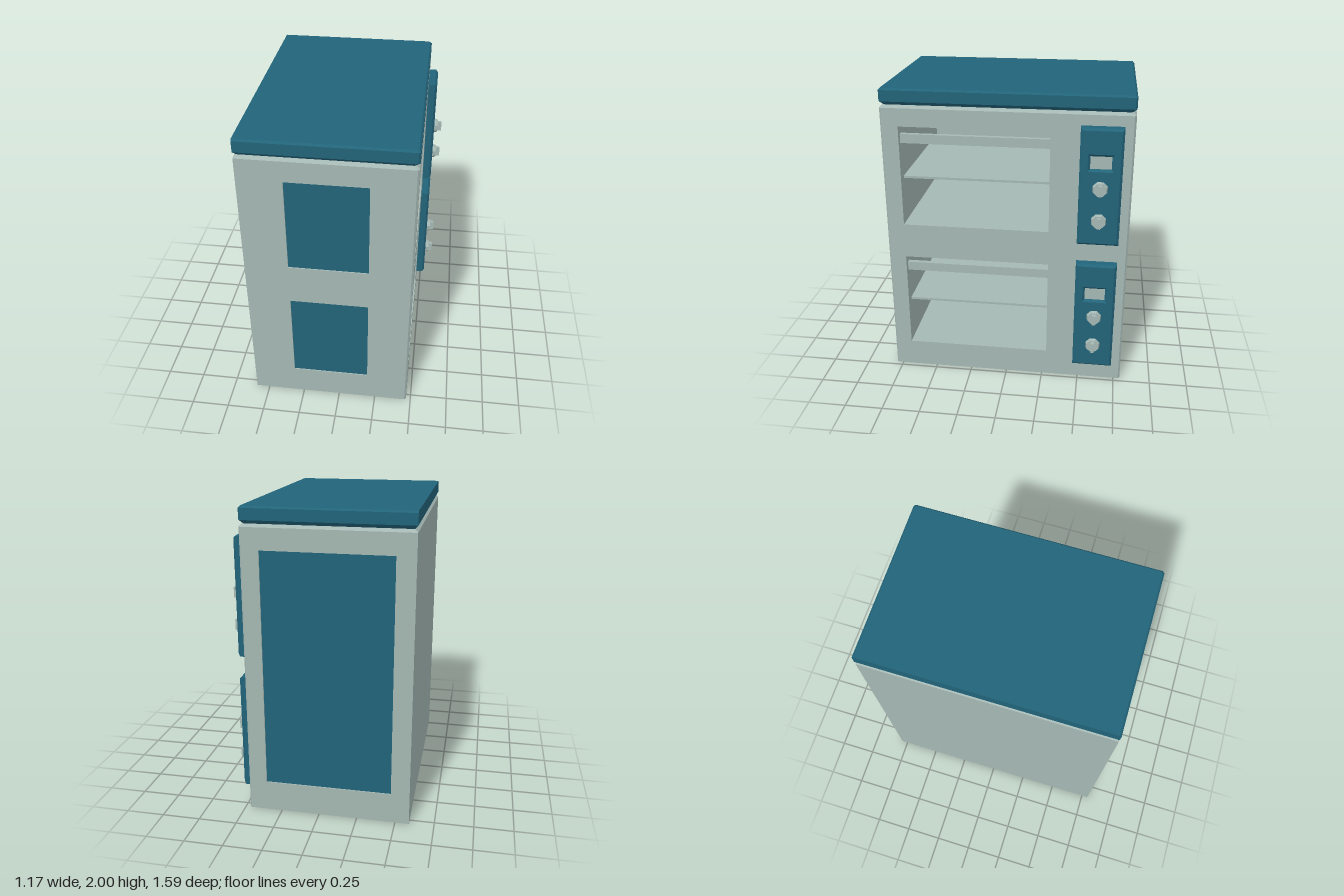
import * as THREE from 'three';

const grey = new THREE.MeshStandardMaterial({ color: 0xa5b8b3, flatShading: true });
grey.name = 'pale grey green enamel';
const blue = new THREE.MeshStandardMaterial({ color: 0x22647a, flatShading: true });
blue.name = 'deep teal enamel';

function add(parent, name, geometry, material) {
  const mesh = new THREE.Mesh(geometry, material);
  mesh.name = name;
  parent.add(mesh);
  return mesh;
}

// Box given by its extents on each axis
function span(x0, x1, y0, y1, z0, z1) {
  return new THREE.BoxGeometry(x1 - x0, y1 - y0, z1 - z0)
    .translate((x0 + x1) / 2, (y0 + y1) / 2, (z0 + z1) / 2);
}

// Rectangle with rectangular holes, each as [x0, x1, y0, y1]
function plate(outer, holes, options) {
  const trace = (path, [x0, x1, y0, y1]) =>
    path.moveTo(x0, y0).lineTo(x1, y0).lineTo(x1, y1).lineTo(x0, y1).closePath();
  const shape = new THREE.Shape();
  trace(shape, outer);
  for (const h of holes) {
    const path = new THREE.Path();
    trace(path, h);
    shape.holes.push(path);
  }
  return new THREE.ExtrudeGeometry(shape, { bevelEnabled: false, ...options });
}

// Stacked plan outlines: rings of { y, pts: [[x, z], ...] }, with end caps
function loft(rings) {
  const pos = [];
  const put = (r, i) => pos.push(r.pts[i][0], r.y, r.pts[i][1]);
  const n = rings[0].pts.length;
  for (let k = 0; k < rings.length - 1; k++) {
    const a = rings[k], b = rings[k + 1];
    for (let i = 0; i < n; i++) {
      const j = (i + 1) % n;
      put(a, i); put(a, j); put(b, j);
      put(a, i); put(b, j); put(b, i);
    }
  }
  const bottom = rings[0], top = rings[rings.length - 1];
  for (let i = 1; i < n - 1; i++) {
    put(top, 0); put(top, i); put(top, i + 1);
    put(bottom, 0); put(bottom, i + 1); put(bottom, i);
  }
  const g = new THREE.BufferGeometry();
  g.setAttribute('position', new THREE.Float32BufferAttribute(pos, 3));
  g.computeVertexNormals();
  return g;
}

// Cabinet plan with the two corners on the open side chamfered
const X0 = -0.59, X1 = 0.47, Z = 0.795, C = 0.012, TOP = 1.877;
function plan(y, inset, insetLeft = inset) {
  const x0 = X0 + insetLeft, x1 = X1 - inset, z = Z - inset;
  return { y, pts: [[x0, z], [x1 - C, z], [x1, z - C], [x1, C - z], [x1 - C, -z], [x0, -z]] };
}

function buildCabinet(root) {
  const cabinet = new THREE.Group();
  cabinet.name = 'cabinet';
  root.add(cabinet);
  const zi = Z - C;

  // Core with two oven cavities running in from the open side
  const cavities = [[-0.68, 0.28, 0.185, 0.855], [-0.68, 0.28, 1.09, 1.76]];
  add(cabinet, 'cavityBlock',
    plate([-zi, zi, 0, TOP], cavities, { depth: X1 + 0.55 }).rotateY(Math.PI / 2).translate(-0.55, 0, 0), grey);
  add(cabinet, 'closedSideWall', span(X0, -0.55, 0, TOP, -zi, zi), grey);

  // Front and back frames around shallow recessed panels
  const frontPanels = [[-0.31, 0.195, 0.205, 0.835], [-0.31, 0.195, 1.11, 1.74]];
  const backPanels = [[-0.47, 0.35, 0.2, 1.74]];
  const outer = [X0, X1 - C, 0, TOP];
  add(cabinet, 'frontFrame', plate(outer, frontPanels, { depth: C }).translate(0, 0, zi), grey);
  add(cabinet, 'backFrame', plate(outer, backPanels, { depth: C }).translate(0, 0, -Z), grey);
  for (const [x0, x1, y0, y1] of frontPanels)
    add(cabinet, 'frontPanel', span(x0, x1, y0, y1, zi - 0.002, zi + 0.004), blue);
  for (const [x0, x1, y0, y1] of backPanels)
    add(cabinet, 'backPanel', span(x0, x1, y0, y1, -zi - 0.004, -zi + 0.002), blue);

  // Chamfered corner strips
  for (const s of [1, -1]) {
    const pts = [[X1 - C, s * Z], [X1, s * zi], [X1 - C, s * zi]];
    if (s < 0) pts.reverse();
    add(cabinet, 'cornerStrip', loft([{ y: 0, pts }, { y: TOP, pts }]), grey);
  }
  add(cabinet, 'shoulder', loft([plan(TOP, 0), plan(1.895, 0.018)]), grey);

  // Shelf and upper rail in each cavity
  for (const [, , y0] of cavities) {
    add(cabinet, 'shelf', span(-0.55, 0.405, y0 + 0.305, y0 + 0.32, -0.28, 0.68), grey);
    add(cabinet, 'rail', span(0.405, 0.435, y0 + 0.552, y0 + 0.612, -0.28, 0.68), grey);
  }
}

function buildControls(y0) {
  const panel = new THREE.Group();
  panel.name = 'controlPanel';
  const bevel = 0.015;

  // Bevelled housing with a display window
  add(panel, 'housing', plate([0.465, 0.73, 0, 0.77], [[0.53, 0.662, 0.51, 0.592]], {
    depth: 0.05, bevelEnabled: true, bevelSegments: 1,
    bevelSize: bevel, bevelThickness: bevel, bevelOffset: -bevel,
  }).rotateY(Math.PI / 2).translate(0.465, 0, 0), blue);
  add(panel, 'display', span(0.505, 0.513, 0.5, 0.6, -0.67, -0.52), grey);

  // Octagonal knobs with a grip bar
  for (const y of [0.385, 0.17]) {
    const knob = new THREE.Group();
    knob.name = 'knob';
    knob.position.set(0.53, y, -0.597);
    add(knob, 'knobBase', new THREE.CylinderGeometry(0.044, 0.051, 0.024, 8)
      .rotateY(Math.PI / 8).rotateZ(-Math.PI / 2).translate(0.012, 0, 0), grey);
    add(knob, 'knobGrip', span(0.02, 0.052, -0.034, 0.034, -0.011, 0.011), grey);
    panel.add(knob);
  }
  panel.position.y = y0;
  return panel;
}

export function createModel() {
  const root = new THREE.Group();
  root.name = 'doubleOven';
  buildCabinet(root);
  // Lid with an undercut lower edge and a slightly eased top edge
  add(root, 'lid', loft([plan(1.895, 0.02), plan(1.917, 0), plan(1.988, 0), plan(2, 0.012, 0)]), blue);
  for (const y of [0.13, 1.04]) root.add(buildControls(y));
  return root;
}
